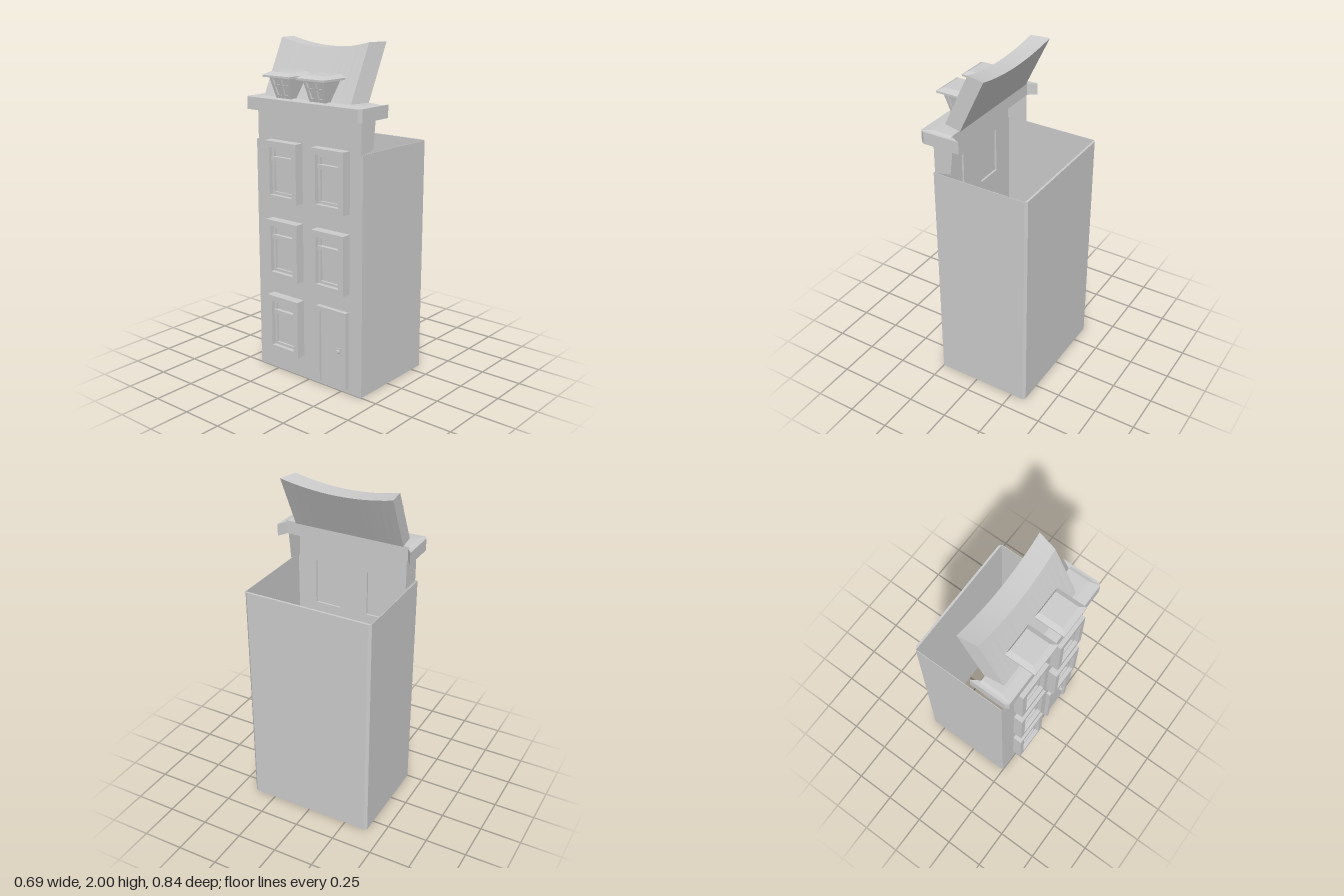
import * as THREE from 'three';

const grey = new THREE.MeshStandardMaterial({ color: 0xcccccc, flatShading: true, side: THREE.DoubleSide });

function add(parent, name, geometry) {
  const mesh = new THREE.Mesh(geometry, grey);
  mesh.name = name;
  parent.add(mesh);
  return mesh;
}

function group(parent, name) {
  const g = new THREE.Group();
  g.name = name;
  parent.add(g);
  return g;
}

// Box given by its limits on each axis
function block(x0, x1, y0, y1, z0, z1) {
  return new THREE.BoxGeometry(x1 - x0, y1 - y0, z1 - z0)
    .translate((x0 + x1) / 2, (y0 + y1) / 2, (z0 + z1) / 2);
}

// Unit box whose vertices are moved by rule(u, v, w), each 0..1
function warped(rule, depthSegments = 1) {
  const g = new THREE.BoxGeometry(1, 1, 1, 1, 1, depthSegments).toNonIndexed();
  const p = g.attributes.position;
  for (let i = 0; i < p.count; i++) {
    p.setXYZ(i, ...rule(p.getX(i) + 0.5, p.getY(i) + 0.5, p.getZ(i) + 0.5));
  }
  g.computeVertexNormals();
  return g;
}

const polygon = (points) => new THREE.Shape(points.map(([a, b]) => new THREE.Vector2(a, b)));
const rect = (z0, z1, y0, y1) => polygon([[z0, y0], [z1, y0], [z1, y1], [z0, y1]]);
const mix = THREE.MathUtils.lerp;

// Outline in (x, z) raised from y0 to y1
function plan(points, y0, y1) {
  return new THREE.ExtrudeGeometry(polygon(points.map(([x, z]) => [x, -z])), { depth: y1 - y0, bevelEnabled: false })
    .rotateX(-Math.PI / 2).translate(0, y0, 0);
}

// Outline in (z, y) pushed out from the facade towards -x
function relief(shape, xBack, depth) {
  return new THREE.ExtrudeGeometry(shape, { depth, bevelEnabled: false })
    .rotateY(-Math.PI / 2).translate(xBack, 0, 0);
}

const FACE = -0.25;
const columns = [[-0.28, -0.04], [0.07, 0.305]];
const windows = [
  [columns[0], 0.14], [columns[0], 0.61], [columns[1], 0.61],
  [columns[0], 1.08], [columns[1], 1.08],
];

function addWindow(parent, [z0, z1], y0) {
  const w = group(parent, 'window');
  const y1 = y0 + 0.352, b = 0.035;
  const frame = rect(z0, z1, y0, y1);
  frame.holes.push(rect(z0 + b, z1 - b, y0 + b, y1 - b));
  add(w, 'windowFrame', relief(frame, FACE, 0.058));
  add(w, 'windowPane', block(-0.268, -0.262, y0 + b, y1 - b, z0 + b, z1 - b));
  add(w, 'windowTransom', block(-0.292, -0.262, y0 + 0.235, y0 + 0.26, z0 + b, z1 - b));
  // thin inner sash
  const sash = rect(z0 + b, z1 - b, y0 + b, y1 - b);
  sash.holes.push(rect(z0 + b + 0.015, z1 - b - 0.015, y0 + b + 0.015, y1 - b - 0.015));
  add(w, 'windowSash', relief(sash, -0.262, 0.02));
}

function addDormer(parent, zc) {
  const d = group(parent, 'dormer');
  const yb = 1.68, yt = 1.803;
  // half width and front position of the flaring body at height v
  const half = (v) => mix(0.055, 0.078, v);
  const front = (v) => mix(-0.285, -0.318, v);
  add(d, 'dormerBody', warped((u, v, w) =>
    [mix(front(v) + 0.012, mix(-0.2, -0.15, v), u), mix(yb, yt, v), zc + (w * 2 - 1) * (half(v) - 0.008)]));
  // front posts and mullion
  for (const s of [-1, 0, 1]) {
    add(d, 'dormerPost', warped((u, v, w) =>
      [front(v) + u * 0.02, mix(yb, yt, v), zc + s * (half(v) - 0.008) + (w - 0.5) * 0.018]));
  }
  // front rails
  for (const [a, b] of [[0, 0.14], [0.52, 0.62], [0.86, 1]]) {
    add(d, 'dormerRail', warped((u, v, w) => {
      const t = mix(a, b, v);
      return [front(t) + 0.002 + u * 0.02, mix(yb, yt, t), zc + (w * 2 - 1) * half(t)];
    }));
  }
  // roof slab with a hipped upper half
  add(d, 'dormerRoofEdge', block(-0.348, -0.162, 1.8, 1.811, zc - 0.1, zc + 0.1));
  add(d, 'dormerRoof', warped((u, v, w) =>
    [mix(mix(-0.348, -0.315, v), mix(-0.162, -0.172, v), u), mix(1.811, 1.829, v),
      zc + (w * 2 - 1) * mix(0.1, 0.071, v)]));
}

export function createModel() {
  const model = new THREE.Group();
  model.name = 'townhouse';

  // Open shell: rear wall with chamfered corners, and two thin side walls
  const shell = group(model, 'shell');
  add(shell, 'rearWall', plan([[0.33, -0.395], [0.343, -0.38], [0.343, 0.38], [0.33, 0.395]], 0, 1.42));
  add(shell, 'sideWall', block(FACE, 0.33, 0, 1.42, -0.397, -0.394));
  add(shell, 'sideWall', block(FACE, 0.33, 0, 1.42, 0.392, 0.395));

  // Facade with window and door openings, narrower above the side walls
  const facade = polygon([[-0.395, 0], [0.395, 0], [0.395, 1.42], [0.382, 1.42],
    [0.382, 1.6], [-0.382, 1.6], [-0.382, 1.42], [-0.395, 1.42]]);
  for (const [[z0, z1], y] of windows) {
    facade.holes.push(rect(z0 + 0.025, z1 - 0.025, y + 0.02, y + 0.335));
  }
  facade.holes.push(rect(0.1, 0.28, 0.03, 0.48));
  add(model, 'facade', new THREE.ShapeGeometry(facade).rotateY(-Math.PI / 2).translate(FACE, 0, 0));
  for (const [column, y] of windows) addWindow(model, column, y);

  // Door
  const door = group(model, 'door');
  const frame = polygon([[0.08, 0.03], [0.105, 0.03], [0.105, 0.475], [0.275, 0.475],
    [0.275, 0.03], [0.3, 0.03], [0.3, 0.5], [0.08, 0.5]]);
  add(door, 'doorFrame', relief(frame, FACE, 0.027));
  add(door, 'doorLeaf', block(-0.262, -0.254, 0.03, 0.475, 0.105, 0.275));
  add(door, 'doorPlate', block(-0.267, -0.26, 0.225, 0.27, 0.225, 0.25));
  add(door, 'doorKnob', new THREE.CylinderGeometry(0.011, 0.011, 0.018, 8)
    .rotateZ(Math.PI / 2).translate(-0.272, 0.25, 0.238));

  // Upper returns, joining the facade to the cornice
  const returns = [
    [[FACE, 1.42], [-0.12, 1.42], [-0.12, 1.6], [FACE, 1.6]],
    [[FACE, 1.415], [-0.23, 1.415], [-0.145, 1.435], [-0.125, 1.6], [FACE, 1.6]],
  ];
  returns.forEach((points, i) => add(model, 'upperReturn',
    new THREE.ShapeGeometry(polygon(points)).translate(0, 0, i ? 0.382 : -0.382)));

  // Cornice with hooked ends and a low bevelled top
  const cornice = group(model, 'cornice');
  add(cornice, 'corniceBand', plan([[-0.31, -0.408], [-0.288, -0.422], [-0.07, -0.422], [-0.12, -0.387],
    [-0.12, 0.387], [-0.062, 0.418], [-0.288, 0.418], [-0.31, 0.404]], 1.6, 1.673));
  add(cornice, 'corniceTop', warped((u, v, w) =>
    [mix(mix(-0.305, -0.25, v), -0.12, u), mix(1.673, 1.68, v), (w * 2 - 1) * mix(0.405, 0.385, v)]));

  // Backward leaning gable slab with a concave top edge
  add(model, 'gable', warped((u, v, w) => {
    const sag = 0.042 * (1 - (w * 2 - 1) ** 2);
    const z = mix(mix(-0.345, -0.36, u), mix(0.295, 0.325, u), w);
    const x = mix(-0.232, -0.115, u) + v * (0.155 - sag * 0.25);
    return [x, mix(1.677, 2 - sag, v), z];
  }, 16));

  // Flared dormers in front of the gable
  for (const z of [-0.145, 0.105]) addDormer(model, z);

  return model;
}
